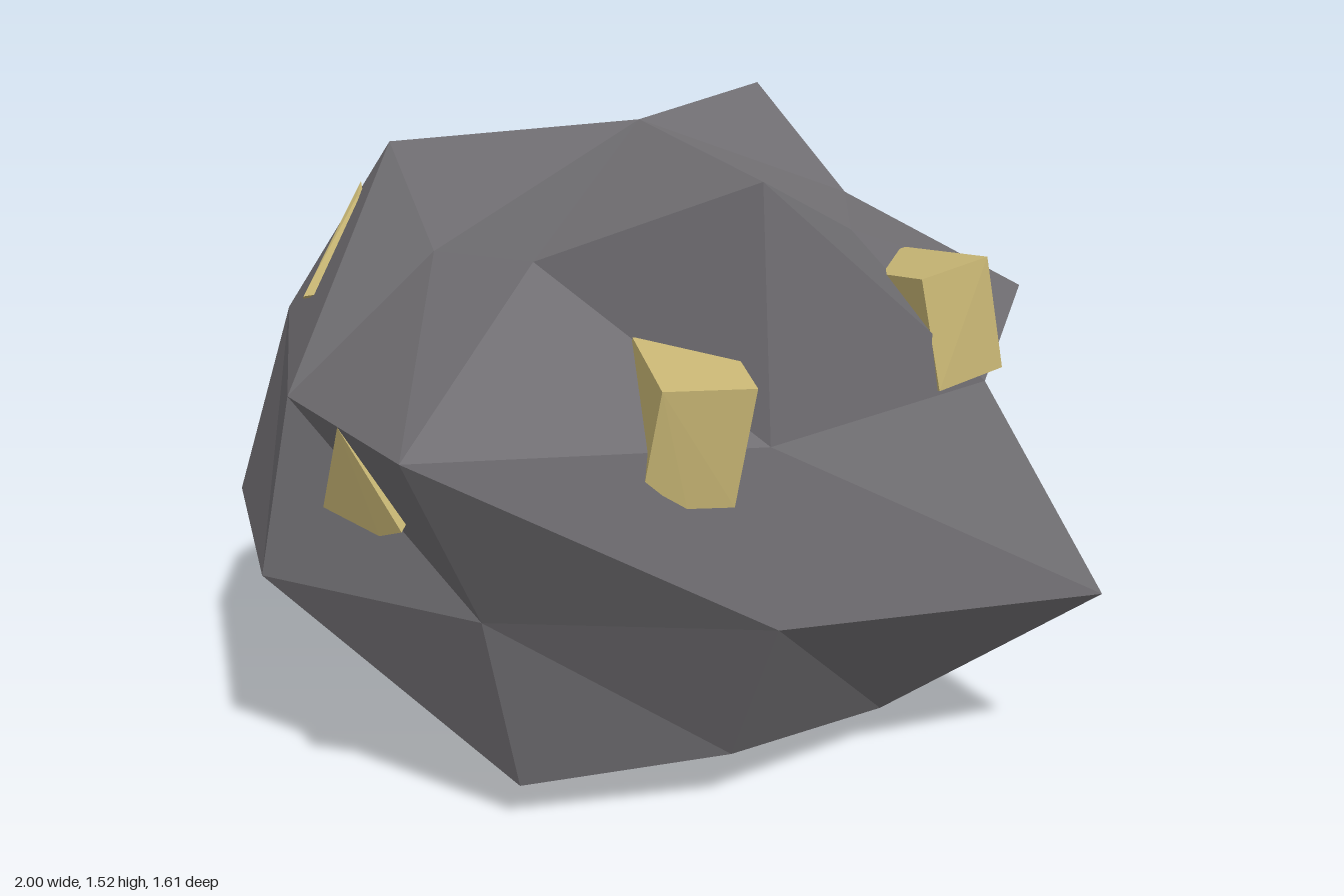
import * as THREE from 'three';
import { ConvexGeometry } from 'three/addons/geometries/ConvexGeometry.js';

// radial size of the boulder per ring, going from -x round by +z, +x, -z
const RINGS = [
  [0.855, 0.93, 1.28, 0.92, 0.925, 1.26, 0.865, 1.147],
  [0.9, 1.195, 0.86, 0.93, 1.115, 1.03, 1.02, 1.04],
  [0.988, 0.865, 0.928, 1.264, 0.835, 0.94, 0.997, 1.23],
  [0.92, 1.13, 1.053, 1.118, 0.848, 1.11, 0.98, 1.11],
];
const POLE = 1.053;

function boulderGeometry() {
  const sides = 8, rows = 5;
  const geo = new THREE.SphereGeometry(1, sides, rows);
  const p = geo.attributes.position;
  for (let i = 0; i < p.count; i++) {
    const row = Math.floor(i / (sides + 1));
    const col = (i % (sides + 1)) % sides;
    const r = row === 0 || row === rows ? POLE : RINGS[row - 1][col];
    p.setXYZ(i, p.getX(i) * r - 0.06, p.getY(i) * r * 0.722 + 0.76, p.getZ(i) * r * 0.865 + 0.03);
  }
  const flat = geo.toNonIndexed();
  flat.computeVertexNormals();
  return flat;
}

const hull = (points) => new ConvexGeometry(points.map((q) => new THREE.Vector3(...q)));

// block crystal: outer face corners pushed back into the rock
const block = (face, d) => [...face, ...face.map((q) => q.map((v, i) => v + d[i]))];

export function createModel() {
  const stone = new THREE.MeshStandardMaterial({ color: 0x706e72, flatShading: true });
  stone.name = 'dark grey stone';
  const ore = new THREE.MeshStandardMaterial({ color: 0xc8b674, flatShading: true });
  ore.name = 'pale gold ore';

  const group = new THREE.Group();
  group.name = 'oreBoulder';
  const add = (name, geo, mat) => {
    const mesh = new THREE.Mesh(geo, mat);
    mesh.name = name;
    group.add(mesh);
  };

  add('boulder', boulderGeometry(), stone);

  // nuggets set in the rock
  const nuggets = {
    frontNugget: block(
      [[-0.325, 1.12, 0.775], [-0.125, 1.11, 0.805], [-0.16, 0.845, 0.775], [-0.26, 0.85, 0.755], [-0.35, 0.91, 0.74]],
      [0.04, 0.04, -0.25]),
    frontLeftNugget: block(
      [[0.38, 1.23, 0.585], [0.555, 1.26, 0.57], [0.6, 1.0, 0.585], [0.42, 0.975, 0.615]],
      [-0.045, -0.04, -0.285]),
    rightNugget: [[-0.89, 0.99, 0.36], [-0.895, 0.76, 0.22], [-0.81, 0.73, 0.36], [-0.78, 0.76, 0.43], [-0.65, 0.85, 0.3]],
    backRightNugget: [[-0.6, 1.29, -0.46], [-0.44, 1.11, -0.51], [-0.5, 1.06, -0.595], [-0.525, 1.05, -0.595], [-0.45, 1.1, -0.35]],
    backRightSliver: [[-0.6, 1.33, -0.425], [-0.785, 1.09, -0.31], [-0.775, 1.07, -0.36], [-0.62, 1.3, -0.395], [-0.6, 1.1, -0.3]],
    backNugget: [[0.15, 1.13, -0.69], [0.245, 1.09, -0.67], [0.2, 1.02, -0.73], [0.19, 1.09, -0.725], [0.19, 1.06, -0.55]],
    backChip: [[0.0, 1.18, -0.6], [0.045, 1.2, -0.62], [0.015, 1.17, -0.625], [0.02, 1.1, -0.55]],
    leftChip: [[0.76, 1.06, -0.24], [0.75, 1.05, -0.25], [0.75, 1.045, -0.235], [0.7, 1.04, -0.24]],
  };
  for (const [name, points] of Object.entries(nuggets)) add(name, hull(points), ore);

  return group;
}
